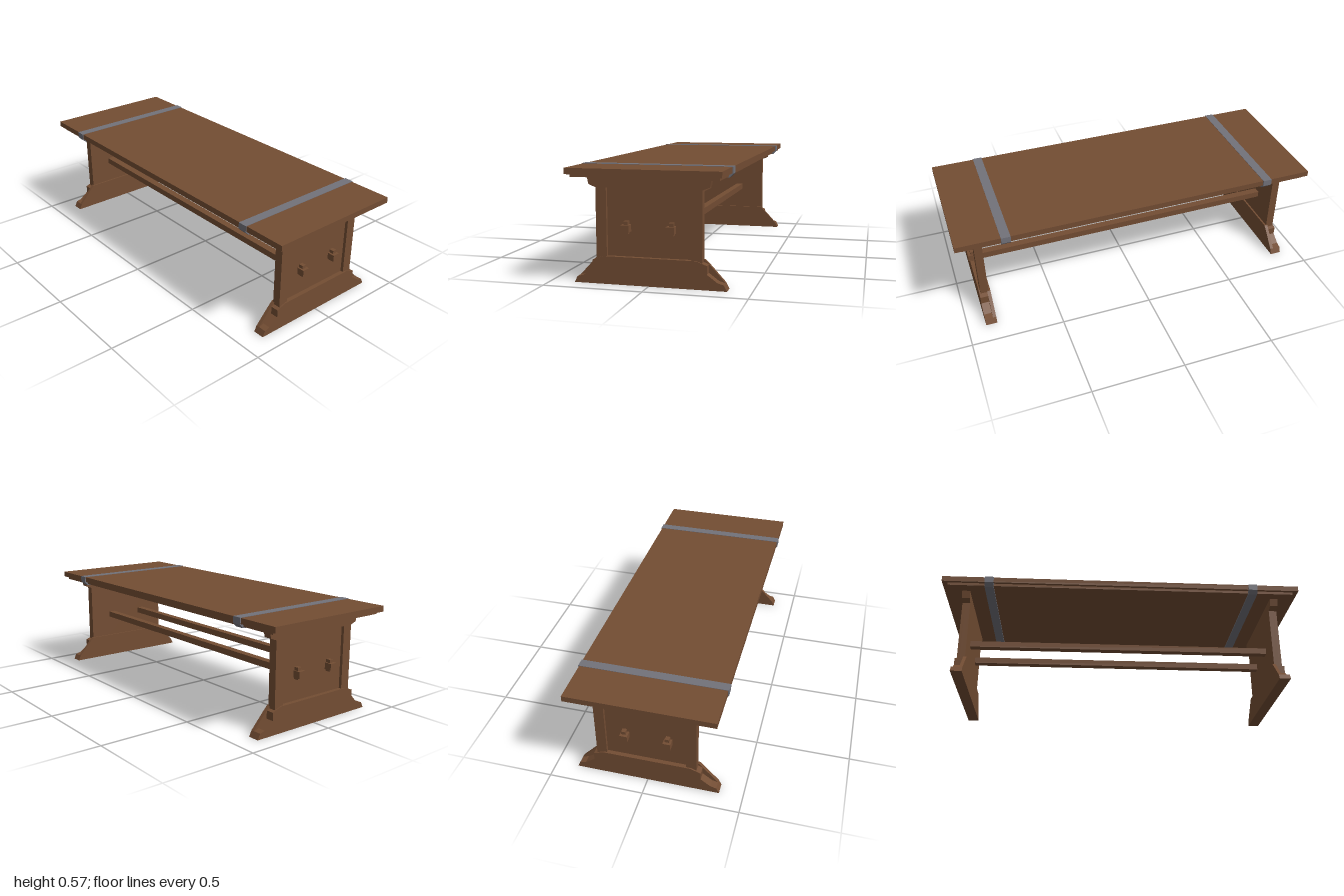
import * as THREE from 'three';

export function createModel() {
  const model = new THREE.Group();
  const wood = new THREE.MeshStandardMaterial({ color: 0x734d33 });
  const iron = new THREE.MeshStandardMaterial({ color: 0x72727a });

  function box(parent, name, material, x0, x1, y0, y1, z0, z1) {
    const mesh = new THREE.Mesh(new THREE.BoxGeometry(x1 - x0, y1 - y0, z1 - z0), material);
    mesh.position.set((x0 + x1) / 2, (y0 + y1) / 2, (z0 + z1) / 2);
    mesh.name = name;
    parent.add(mesh);
  }

  // Mirrors a half outline of [z, y] points, listed from bottom to top
  function symmetric(half) {
    const right = half.map(([z, y]) => new THREE.Vector2(z, y));
    const left = half.map(([z, y]) => new THREE.Vector2(-z, y)).reverse();
    return new THREE.Shape([...right, ...left]);
  }

  // Extrudes a (z, y) outline along x, from x0 to x1
  function slab(parent, name, material, shape, x0, x1, z = 0) {
    const geo = new THREE.ExtrudeGeometry(shape, { depth: x1 - x0, bevelEnabled: false });
    geo.rotateY(Math.PI / 2);
    const mesh = new THREE.Mesh(geo, material);
    mesh.position.set(x0, 0, z);
    mesh.name = name;
    parent.add(mesh);
  }

  // Table top with its smaller under-board
  box(model, 'tableTop', wood, -1, 1, 0.54, 0.57, -0.378, 0.378);
  box(model, 'underBoard', wood, -0.97, 0.97, 0.525, 0.541, -0.362, 0.362);

  // Iron bands wrapped around the top, chamfered below
  const bandShape = symmetric([[0.363, 0.518], [0.383, 0.538], [0.383, 0.572]]);
  for (const x of [-0.74, 0.74]) slab(model, 'ironBand', iron, bandShape, x - 0.025, x + 0.025);

  // Stretcher beams through both legs
  for (const z of [-0.113, 0.11]) {
    box(model, 'stretcher', wood, -0.92, 0.92, 0.26, 0.295, z - 0.02, z + 0.02);
  }

  const board = [[0.263, 0.05], [0.263, 0.47], [0.298, 0.484], [0.308, 0.53]];
  const footInner = [[0.38, 0], [0.365, 0.03], [0.284, 0.118], [0.265, 0.137]];
  const footOuter = [[0.38, 0], [0.365, 0.03], [0.335, 0.038], [0.284, 0.075], [0.284, 0.117], [0.23, 0.137]];

  // Raised frame around the recessed outer panel
  const frame = symmetric(board);
  frame.holes.push(new THREE.Path([[-0.21, 0.137], [-0.21, 0.47], [0.21, 0.47], [0.21, 0.137]]
    .map(([z, y]) => new THREE.Vector2(z, y))));

  for (const side of [1, -1]) {
    const leg = new THREE.Group();
    leg.name = side > 0 ? 'leftLeg' : 'rightLeg';
    slab(leg, 'legBoard', wood, symmetric(board), 0.852, 0.88);
    slab(leg, 'legFrame', wood, frame, 0.88, 0.896);
    slab(leg, 'footInner', wood, symmetric(footInner), 0.842, 0.86, -0.003);
    slab(leg, 'footOuter', wood, symmetric(footOuter), 0.86, 0.903, -0.003);
    // Wedges locking the stretcher ends
    for (const z of [-0.115, 0.11]) {
      box(leg, 'wedge', wood, 0.878, 0.905, 0.25, 0.312, z - 0.011, z + 0.011);
    }
    if (side < 0) leg.rotation.y = Math.PI;
    // The turned leg keeps the same slight offset of its foot
    if (side < 0) leg.position.z = -0.006;
    model.add(leg);
  }
  return model;
}
